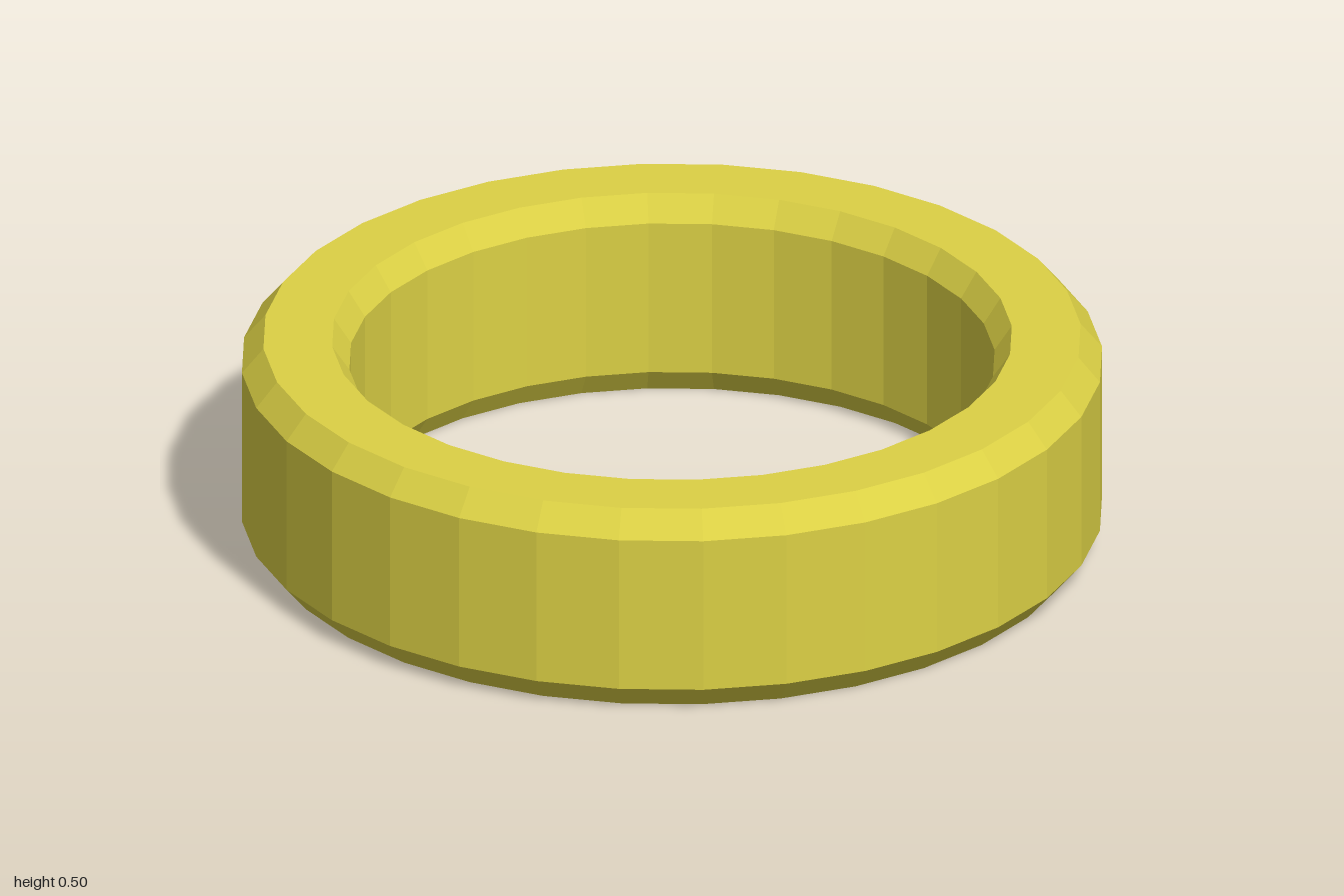
import * as THREE from 'three';

export function createModel() {
  const group = new THREE.Group();
  const outer = 1, inner = 0.75, height = 0.5;
  const bevelOut = 0.05, bevelIn = 0.04, bevelY = 0.06;

  // Chamfered cross-section: up the outside, across the top, down the inside
  const profile = [
    [outer - bevelOut, 0],
    [outer, bevelY],
    [outer, height - bevelY],
    [outer - bevelOut, height],
    [inner + bevelIn, height],
    [inner, height - bevelY],
    [inner, bevelY],
    [inner + bevelIn, 0],
    [outer - bevelOut, 0],
  ].map(([r, y]) => new THREE.Vector2(r, y));

  // Faceted ring
  const ring = new THREE.Mesh(
    new THREE.LatheGeometry(profile, 32),
    new THREE.MeshStandardMaterial({ color: 0xdcd145, flatShading: true })
  );
  ring.name = 'ring';
  group.add(ring);
  return group;
}
